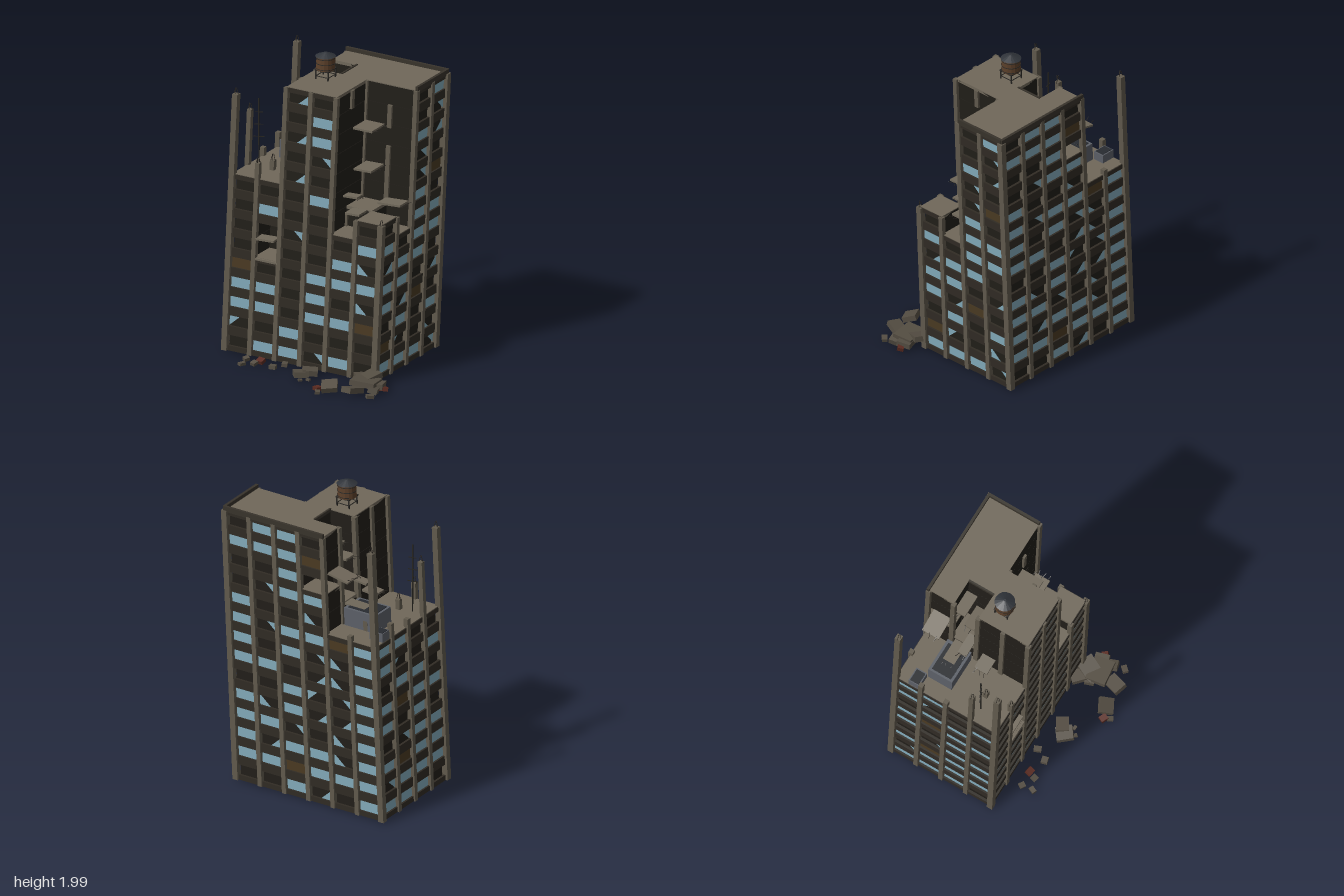
import * as THREE from 'three';
import { mergeGeometries } from 'three/addons/utils/BufferGeometryUtils.js';

const LEAN = 0.047, BASE = 0.02, FH = 0.129, NX = 6, NZ = 4, DX = 0.178, DZ = 0.177;
const X = i => -0.61 + DX * i;          // bay lines, left to right at ground level
const Z = j => 0.185 - DZ * j;          // bay lines, front to back
const Y = f => BASE + FH * f;           // floor lines

// storeys standing in each bay, one row per depth from front to back
const STOREYS = [
  [9, 9, 14, 14, 7, 8],
  [9, 9, 14, 14, 8, 7],
  [9, 9, 14, 14, 14, 14],
  [9, 9, 14, 14, 14, 14],
];
const isHole = (i, j, f) =>
  (i === 2 && j === 2 && f >= 10) || (i === 2 && j === 3 && f === 11) ||
  (i === 1 && j === 0 && (f === 5 || f === 6));
const inside = (i, j) => i >= 0 && j >= 0 && i < NX && j < NZ;
const solid = (i, j, f) => inside(i, j) && f >= 0 && f < STOREYS[j][i] && !isHole(i, j, f);

// window state per storey from the ground up: G glass, s shard, b boarded, . empty
const FRONT = ['.GGsG.', 's.G...', 'GG.GGb', 'GG.G.s', 'b..GGG', '....Gs', '..s..G', '.G....',
  '...G..', '..s...', '...s..', '..sG..', '...G..', '..s...'];
const RIGHT = ['GGGs', 'bs.s', '.G.G', 'Gsb.', 'GG.s', 'sGG.', 'G.GG', '..GG', '..G.', '..sb', '..s.', '..Gs', '...s', '...G'];
const hash = (a, b, c) => { const v = Math.sin(a * 12.99 + b * 78.23 + c * 37.72) * 43758.5453; return v - Math.floor(v); };

// sides: step to the neighbour bay, and turn of the wall
const SIDES = [
  { di: 0, dj: -1, turn: 0 }, { di: 1, dj: 0, turn: Math.PI / 2 },
  { di: 0, dj: 1, turn: Math.PI }, { di: -1, dj: 0, turn: -Math.PI / 2 },
];

const COLORS = {
  walls: 0x211e19, spandrels: 0x302b24, columns: 0x615a4d, floorSlabs: 0x70685a, windows: 0x82aaba,
  boards: 0x4a3a22, parapets: 0x38332b, brokenSlabs: 0x70685a, rebar: 0x2c2823, roofUnits: 0x5c6068,
  roofUnitTops: 0x282b30, antenna: 0x26241f, tankBarrel: 0x5c402a, tankRoof: 0x30343a, tankFrame: 0x2b2926,
  rubble: 0x544d42, brickRubble: 0x5a2a20,
};

export function createModel() {
  const parts = {};
  const add = (name, geo) => { (parts[name] ??= []).push(geo.index ? geo.toNonIndexed() : geo); };
  const span = (name, x0, x1, y0, y1, z0, z1) => add(name,
    new THREE.BoxGeometry(x1 - x0, y1 - y0, Math.abs(z1 - z0)).translate((x0 + x1) / 2, (y0 + y1) / 2, (z0 + z1) / 2));
  // placed by final position, with the later lean taken off first
  const put = (name, geo, x, y, z, rx = 0, ry = 0, rz = 0) => {
    geo.applyMatrix4(new THREE.Matrix4().makeRotationFromEuler(new THREE.Euler(rx, ry, rz)));
    add(name, geo.translate(x - LEAN * y, y, z));
  };
  const box = (w, h, d) => new THREE.BoxGeometry(w, h, d);

  // one storey of facade on one side of a bay
  function facade(i, j, f, s) {
    const side = SIDES[s], alongX = side.di === 0;
    const w = alongX ? DX : DZ, out = (alongX ? DZ : DX) / 2;
    const place = (name, geo, y, depth) => add(name, geo.translate(0, y, out + depth).rotateY(side.turn)
      .translate((X(i) + X(i + 1)) / 2, 0, (Z(j) + Z(j + 1)) / 2));
    const low = Math.max(BASE, Y(f) - 0.026), high = Y(f) + 0.033;
    place('spandrels', box(w, high - low, 0.016), (low + high) / 2, -0.004);
    if (!solid(i, j, f + 1)) place('spandrels', box(w, 0.03, 0.016), Y(f + 1) - 0.015, -0.004);
    const h = hash(i + 7 * s, j + 3, f + 1);
    const state = s === 0 ? FRONT[f][i] : s === 1 ? RIGHT[f][j] : h < 0.48 ? 'G' : h < 0.66 ? 's' : h < 0.7 ? 'b' : '.';
    const y = Y(f) + 0.068, a = w / 2 - 0.014, b = 0.037;
    if (state === 'G') place('windows', new THREE.PlaneGeometry(2 * a, 2 * b), y, -0.008);
    if (state === 'b') place('boards', new THREE.PlaneGeometry(2 * a, 2 * b), y, -0.008);
    if (state === 's') {
      const m = hash(f, i, j + s) < 0.5 ? 1 : -1, v = hash(j, f, i) < 0.5 ? 1 : -1;
      const tri = new THREE.Shape([[a * m, b * v], [-a * 0.1 * m, b * v], [a * m, -b * v]].map(p => new THREE.Vector2(...p)));
      place('windows', new THREE.ShapeGeometry(tri), y, -0.008);
    }
  }

  // bays: dark rooms, facades and exposed floors
  for (let j = 0; j < NZ; j++) for (let i = 0; i < NX; i++) for (let f = 0; f < STOREYS[j][i]; f++) {
    if (!solid(i, j, f)) continue;
    const inset = SIDES.map(d => inside(i + d.di, j + d.dj) ? 0 : 0.02);
    const x0 = X(i) + inset[3], x1 = X(i + 1) - inset[1], z0 = Z(j) - inset[0], z1 = Z(j + 1) + inset[2];
    if (f > 0) span('walls', x0, x1, Y(f), Y(f + 1) - 0.002, z0, z1);
    else { // ground floor stays open below, divided by thin walls
      span('walls', x0, x0 + 0.006, BASE, Y(1), z0, z1);
      span('walls', x1 - 0.006, x1, BASE, Y(1), z0, z1);
      span('walls', x0, x1, BASE, Y(1), z0, z0 - 0.006);
      span('walls', x0, x1, BASE, Y(1), z1 + 0.006, z1);
    }
    SIDES.forEach((d, s) => { if (!inside(i + d.di, j + d.dj)) facade(i, j, f, s); });
    if (!solid(i, j, f + 1)) span('floorSlabs', X(i), X(i + 1), Y(f + 1) - 0.016, Y(f + 1) + 0.004, Z(j), Z(j + 1));
  }

  // columns on every outer or stepped bay line; some stand broken above the roof
  const brokenTop = { '0,0': 1.71, '0,1': 1.55, '0,2': 1.24, '0,3': 1.28, '0,4': 1.82, '1,0': 1.29, '1,1': 1.25, '1,3': 1.25, '1,4': 1.22 };
  const pieces = { '4,1': [[BASE + 7 * FH, 1.0], [1.7, 1.82]], '5,2': [[1.05, 1.43], [1.55, 1.7]] };
  for (let i = 0; i <= NX; i++) for (let j = 0; j <= NZ; j++) {
    const near = [[i - 1, j - 1], [i, j - 1], [i - 1, j], [i, j]].map(([a, b]) => inside(a, b) ? STOREYS[b][a] : 0);
    const top = Math.max(...near), bottom = Math.min(...near), key = `${i},${j}`;
    const w = (i % NX === 0 && j % NZ === 0) ? 0.019 : 0.015;
    const runs = pieces[key] ?? (top > bottom || brokenTop[key] ? [[Y(bottom), brokenTop[key] ?? Y(top)]] : []);
    for (const [a, b] of runs) span('columns', X(i) - w, X(i) + w, a, b, Z(j) + w, Z(j) - w);
  }

  // parapets along the back and right roof edges
  const roofY = Y(14), leanTop = LEAN * roofY;
  put('parapets', box(0.73, 0.035, 0.018), 0.187, roofY + 0.01, -0.527);
  put('parapets', box(0.018, 0.035, 0.36), 0.545, roofY + 0.01, -0.347);
  put('parapets', box(0.012, 0.02, 0.18), 0.009, roofY, -0.257);

  // snapped floor slabs: x, y, z, width, depth, roll
  const slabs = [
    [-0.25, 1.555, -0.42, 0.15, 0.12, 0.2], [-0.23, 1.435, -0.21, 0.14, 0.06, 0.1], [-0.28, 1.3, -0.28, 0.17, 0.08, 0.04],
    [-0.24, 1.31, -0.08, 0.11, 0.09, 0.1], [-0.09, 1.7, -0.31, 0.15, 0.08, 0.03], [-0.1, 1.57, -0.22, 0.15, 0.1, -0.04],
    [0.255, 1.565, -0.08, 0.135, 0.15, 0], [0.255, 1.3, -0.08, 0.125, 0.15, 0.03], [0.41, 1.09, -0.11, 0.16, 0.1, 0.06],
    [0.25, 1.17, 0.1, 0.1, 0.06, 0.05], [0.25, 1.05, 0.06, 0.1, 0.1, 0.04], [-0.32, 0.795, 0.16, 0.13, 0.08, 0.05],
    [-0.31, 0.66, 0.15, 0.16, 0.1, 0],
  ];
  slabs.forEach(([x, y, z, w, d, roll], k) => {
    put('brokenSlabs', box(w, 0.013, d), x, y, z, 0, 0, roll);
    for (let n = 0; n < 3; n++)
      put('rebar', box(0.04, 0.003, 0.003), x + (x < 0 ? -1 : 1) * (w / 2 + 0.012), y, z + (n - 1) * d * 0.35, 0, hash(k, n, 1) - 0.5, hash(k, n, 2) - 0.3);
  });
  for (const [i, j, top] of [[0, 0, 1.71], [0, 1, 1.55], [0, 4, 1.82], [1, 0, 1.29], [1, 1, 1.25], [6, 0, 1.05]])
    for (let n = 0; n < 3; n++)
      put('rebar', box(0.003, 0.05, 0.003), X(i) + LEAN * top + (n - 1) * 0.01, top + 0.015, Z(j) + (n % 2) * 0.01, 0, 0, (n - 1) * 0.3);

  // service boxes on the low roof
  for (const [x, z, w, d, h] of [[-0.335, -0.275, 0.23, 0.17, 0.12], [-0.505, -0.4, 0.095, 0.075, 0.06]]) {
    put('roofUnits', box(w, h, d), x, Y(9) + h / 2, z);
    put('roofUnitTops', box(w * 0.85, 0.004, d * 0.8), x, Y(9) + h + 0.001, z);
  }

  // radio mast, slightly tilted
  put('antenna', box(0.006, 0.46, 0.006), -0.465, 1.41, 0.025, 0, 0, 0.05);
  [[1.55, 0.05], [1.47, 0.06], [1.39, 0.07]].forEach(([y, w]) => put('antenna', box(w, 0.004, 0.004), -0.465, y, 0.025, 0, 0.3, 0.05));

  // water tank on legs
  const tx = -0.04, tz = -0.06;
  put('tankBarrel', new THREE.CylinderGeometry(0.058, 0.06, 0.085, 16), tx, 1.933, tz);
  for (const y of [1.9, 1.933, 1.966]) put('tankFrame', new THREE.CylinderGeometry(0.061, 0.061, 0.004, 16), tx, y, tz);
  put('tankRoof', new THREE.CylinderGeometry(0.008, 0.064, 0.025, 16), tx, 1.9875, tz);
  put('tankFrame', box(0.1, 0.008, 0.1), tx, 1.889, tz);
  for (const a of [-1, 1]) {
    for (const b of [-1, 1]) put('tankFrame', box(0.007, 0.065, 0.007), tx + a * 0.044, 1.858, tz + b * 0.044);
    put('tankFrame', box(0.09, 0.004, 0.004), tx, 1.85, tz + a * 0.044);
    put('tankFrame', box(0.004, 0.004, 0.09), tx + a * 0.044, 1.85, tz);
  }

  // fallen rubble: x, z, size, height of centre, brick or concrete
  const rubble = [
    [-0.4, 0.28, 0.035, 0.03], [-0.39, 0.35, 0.03, 0.02], [-0.32, 0.32, 0.035, 0.03], [-0.3, 0.275, 0.04, 0.035, 1],
    [-0.19, 0.315, 0.04, 0.03], [-0.15, 0.24, 0.035, 0.03], [0.02, 0.33, 0.09, 0.035], [0.06, 0.29, 0.08, 0.045],
    [0.09, 0.36, 0.02, 0.015], [0.05, 0.39, 0.02, 0.015], [0.3, 0.455, 0.09, 0.055], [0.23, 0.48, 0.04, 0.03, 1],
    [0.25, 0.515, 0.03, 0.02], [0.45, 0.43, 0.085, 0.05], [0.57, 0.425, 0.035, 0.025], [0.58, 0.28, 0.04, 0.03, 1],
    [0.38, 0.21, 0.08, 0.05], [0.4, 0.28, 0.06, 0.04], [0.47, 0.31, 0.13, 0.07], [0.53, 0.28, 0.09, 0.05],
    [0.45, 0.25, 0.11, 0.075], [0.55, 0.35, 0.06, 0.04],
  ];
  rubble.forEach(([x, z, s, y, brick], k) => {
    const h = Math.min(0.035, s * 0.6);
    put(brick ? 'brickRubble' : 'rubble', box(s, h, s * (1 + 0.4 * hash(k, 2, 5))), x, y * 0.85 + 0.008, z,
      (hash(k, 1, 1) - 0.5) * 0.5, hash(k, 3, 2) * 3, (hash(k, 4, 3) - 0.5) * 0.5);
  });

  // merge each part and lean the whole tower to its left
  const group = new THREE.Group();
  group.name = 'ruinedTower';
  for (const [name, list] of Object.entries(parts)) {
    const geo = mergeGeometries(list), p = geo.attributes.position;
    for (let k = 0; k < p.count; k++) p.setX(k, p.getX(k) + LEAN * p.getY(k));
    for (let k = 0; k < p.count; k++) if (p.getY(k) < 0) p.setY(k, 0);
    geo.computeVertexNormals();
    const mesh = new THREE.Mesh(geo, new THREE.MeshStandardMaterial({ color: COLORS[name], flatShading: true }));
    mesh.name = name;
    group.add(mesh);
  }
  return group;
}
